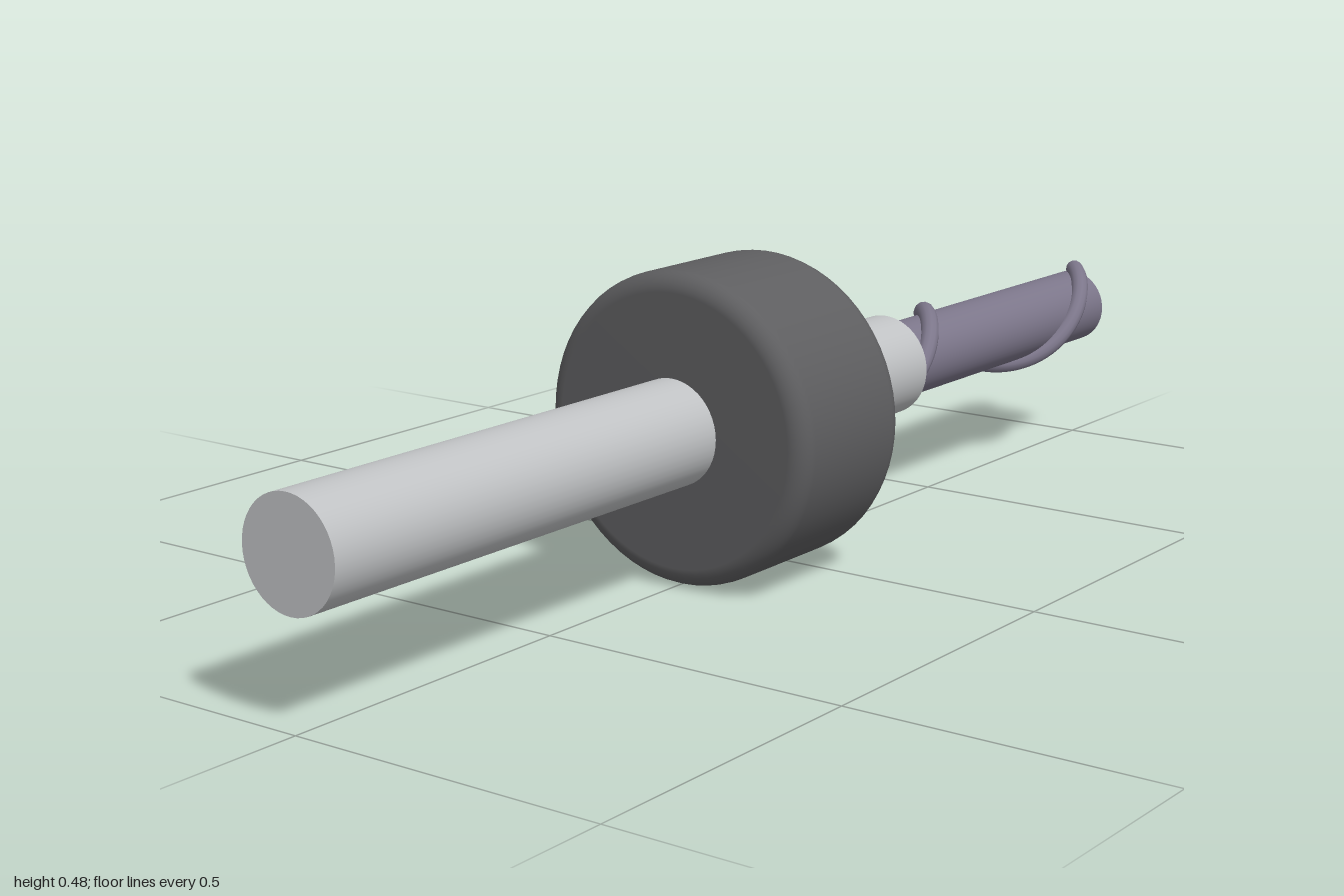
import * as THREE from 'three';

const AXIS_Y = 0.24;

function material(name, color) {
  const m = new THREE.MeshStandardMaterial({ color });
  m.name = name;
  return m;
}

// Cylinder along z between two z positions
function rod(name, radius, zBack, zFront, mat) {
  const geo = new THREE.CylinderGeometry(radius, radius, zFront - zBack, 48);
  geo.rotateX(Math.PI / 2);
  geo.translate(0, 0, (zBack + zFront) / 2);
  const mesh = new THREE.Mesh(geo, mat);
  mesh.name = name;
  return mesh;
}

// Thick disc with filleted rims, turned around the z axis
function roundedCollar(radius, zBack, zFront, fillet, mat) {
  const points = [new THREE.Vector2(0, zBack)];
  const steps = 6;
  for (const [z, start] of [[zBack + fillet, -Math.PI / 2], [zFront - fillet, 0]]) {
    for (let i = 0; i <= steps; i++) {
      const a = start + (i / steps) * Math.PI / 2;
      points.push(new THREE.Vector2(radius - fillet + fillet * Math.cos(a), z + fillet * Math.sin(a)));
    }
  }
  points.push(new THREE.Vector2(0, zFront));
  const geo = new THREE.LatheGeometry(points, 64);
  geo.rotateX(Math.PI / 2);
  const mesh = new THREE.Mesh(geo, mat);
  mesh.name = 'collar';
  return mesh;
}

// Helical cutting ridge winding backwards around the bit
class Helix extends THREE.Curve {
  getPoint(t, target = new THREE.Vector3()) {
    const a = t * 2.5 * Math.PI;
    return target.set(0.067 * Math.cos(a), 0.067 * Math.sin(a), -0.36 - 0.63 * t);
  }
}

export function createModel() {
  const steel = material('steel', 0xc0c2c4);
  const rubber = material('darkGrey', 0x5e5e60);
  const carbide = material('purpleGrey', 0x7c768a);
  carbide.side = THREE.DoubleSide;

  const model = new THREE.Group();
  model.name = 'cuttingTool';

  const ridge = new THREE.Mesh(new THREE.TubeGeometry(new Helix(), 96, 0.015, 12), carbide);
  ridge.name = 'spiralRidge';

  const body = new THREE.Group();
  body.name = 'toolBody';
  body.position.y = AXIS_Y;
  body.add(
    rod('shank', 0.082, -0.36, 1, steel),
    roundedCollar(0.24, -0.045, 0.215, 0.03, rubber),
    rod('bit', 0.063, -0.985, -0.36, carbide),
    ridge,
  );
  model.add(body);
  return model;
}
